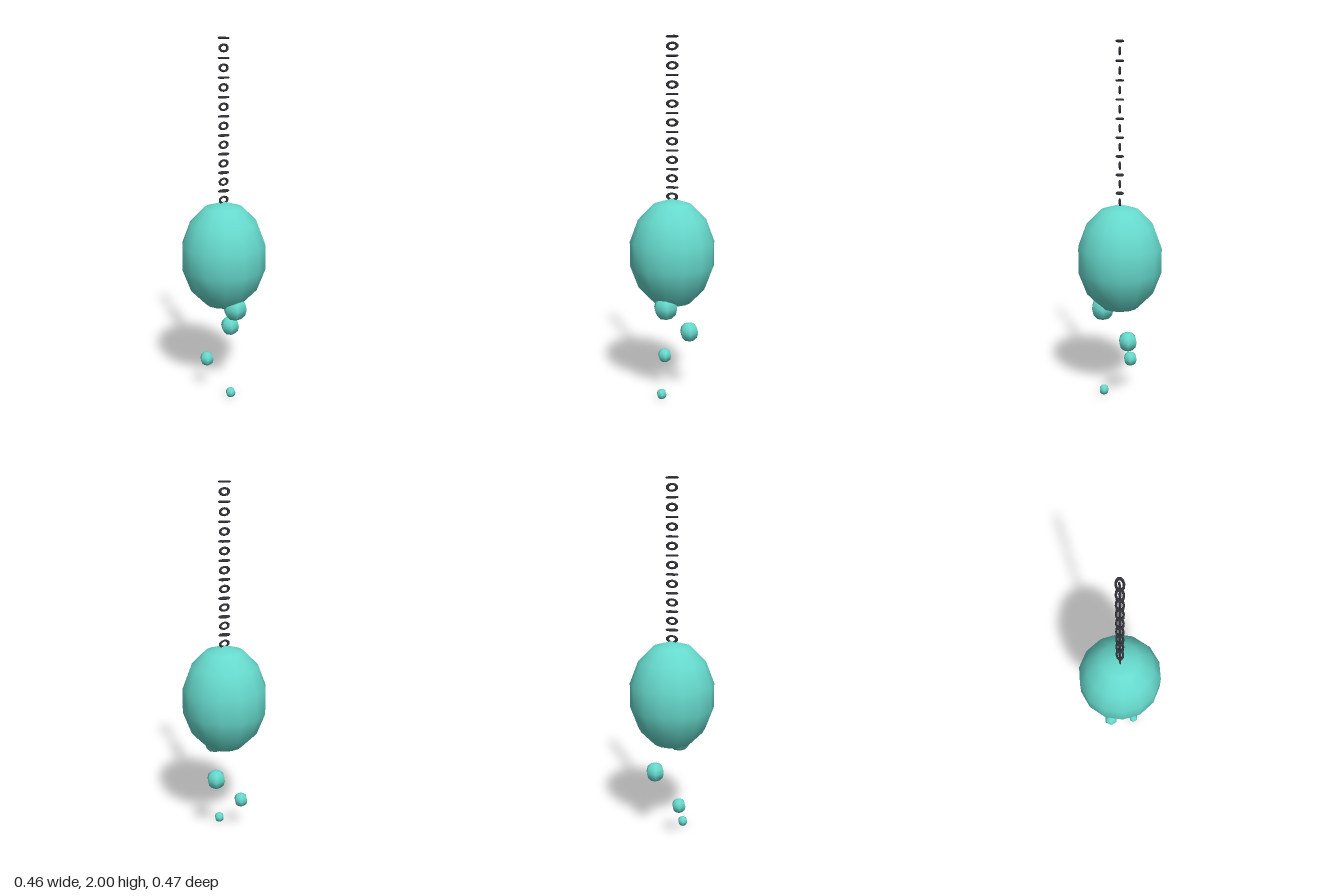
import * as THREE from 'three';

const teal = new THREE.MeshStandardMaterial({ color: 0x66d9cc });
const iron = new THREE.MeshStandardMaterial({ color: 0x33333b });

// Faceted ball with corners pointing along z
function ball(name, radius, segments, rows, [x, y, z], stretch = 1) {
  const geometry = new THREE.SphereGeometry(radius, segments, rows);
  geometry.rotateY(Math.PI / 2);
  geometry.scale(1, stretch, 1);
  const mesh = new THREE.Mesh(geometry, teal);
  mesh.name = name;
  mesh.position.set(x, y, z);
  return mesh;
}

// Chain of oval links, alternately lying flat and standing on edge
function chain() {
  const group = new THREE.Group();
  group.name = 'chain';
  const link = new THREE.TorusGeometry(0.0175, 0.0057, 6, 10);
  link.scale(1, 1.6, 1);
  link.rotateX(Math.PI / 2);
  for (let i = 0; i < 18; i++) {
    const mesh = new THREE.Mesh(link, iron);
    mesh.name = 'chainLink';
    mesh.position.y = 1.995 - i * 0.0503;
    if (i % 2) mesh.rotation.z = Math.PI / 2;
    group.add(mesh);
  }
  return group;
}

export function createModel() {
  const model = new THREE.Group();
  model.name = 'hangingPod';

  model.add(chain());
  model.add(ball('pod', 0.241, 14, 7, [0, 0.8225, 0], 1.276));

  // Drops falling from the pod, shrinking downwards
  const drops = [
    [0.069, [0.096, 0.536, 0]],
    [0.055, [-0.042, 0.367, -0.087]],
    [0.041, [-0.064, 0.2, 0.073]],
    [0.029, [0.091, 0.03, 0.027]],
  ];
  for (const [radius, position] of drops) {
    model.add(ball('drop', radius, 6, 6, position));
  }
  return model;
}
